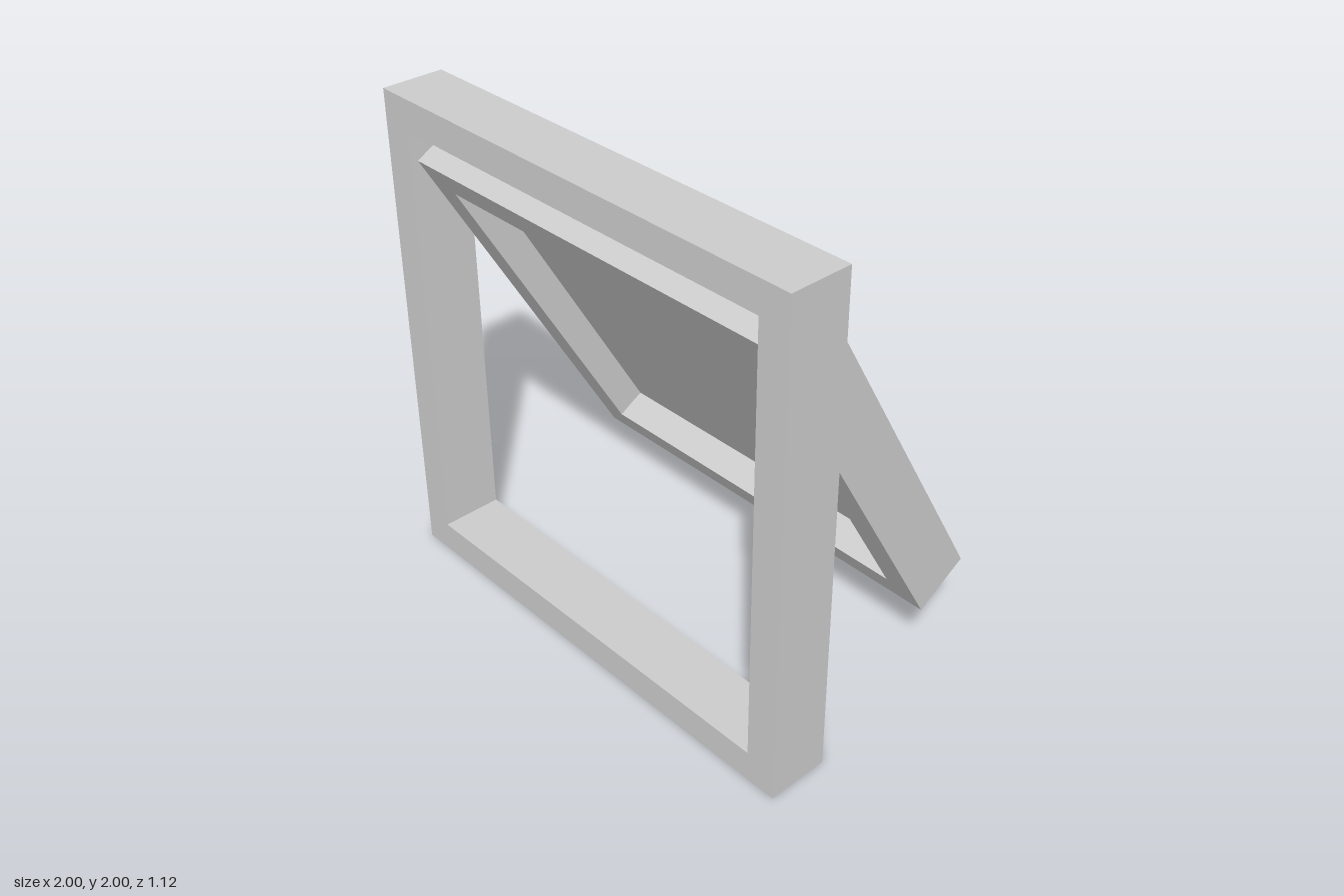
import * as THREE from 'three';

const DEPTH = 0.25;   // depth of both frames
const BORDER = 0.125; // width of both frame borders

// Square frame extruded along +z, centred on x and y
function frameGeometry(size) {
  const h = size / 2;
  const i = h - BORDER;
  const shape = new THREE.Shape([
    new THREE.Vector2(-h, -h), new THREE.Vector2(h, -h),
    new THREE.Vector2(h, h), new THREE.Vector2(-h, h),
  ]);
  shape.holes.push(new THREE.Path([
    new THREE.Vector2(-i, -i), new THREE.Vector2(-i, i),
    new THREE.Vector2(i, i), new THREE.Vector2(i, -i),
  ]));
  return new THREE.ExtrudeGeometry(shape, { depth: DEPTH, bevelEnabled: false });
}

export function createModel() {
  const model = new THREE.Group();
  model.name = 'topHungWindow';
  const material = new THREE.MeshStandardMaterial({ color: 0xcccccc, flatShading: true });
  const paneMaterial = material.clone();
  paneMaterial.side = THREE.DoubleSide;

  // Fixed outer frame
  const outerFrame = new THREE.Mesh(frameGeometry(2), material);
  outerFrame.name = 'outerFrame';
  outerFrame.position.set(0, 1, 0.3125);
  model.add(outerFrame);

  // Sash, hinged on the upper back edge of the opening and swung out 30 degrees
  const sash = new THREE.Group();
  sash.name = 'sash';
  sash.position.set(0, 1.875, 0.3125);
  sash.rotation.x = Math.PI / 6;
  model.add(sash);

  const sashSize = 2 - 2 * BORDER;
  const sashFrame = new THREE.Mesh(frameGeometry(sashSize), material);
  sashFrame.name = 'sashFrame';
  sashFrame.position.y = -sashSize / 2;
  sash.add(sashFrame);

  // Thin pane halfway through the sash
  const paneSize = sashSize - 2 * BORDER;
  const pane = new THREE.Mesh(new THREE.PlaneGeometry(paneSize, paneSize), paneMaterial);
  pane.name = 'pane';
  pane.position.set(0, -sashSize / 2, DEPTH / 2);
  sash.add(pane);

  return model;
}
